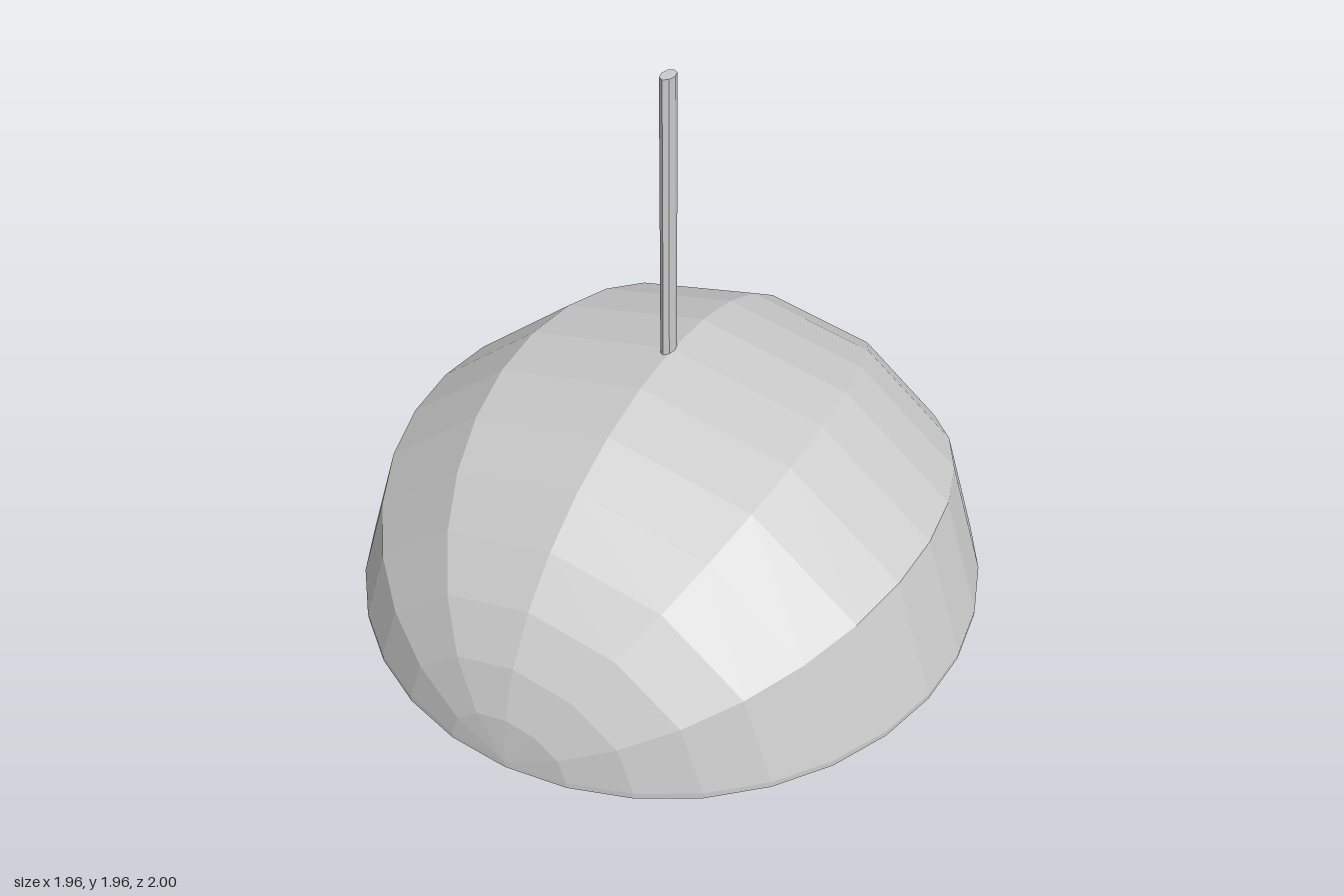
import * as THREE from 'three';

const material = (side = THREE.FrontSide) =>
  new THREE.MeshStandardMaterial({ color: 0xcccccc, flatShading: true, side });

function addPart(group, name, geometry, x, y, side) {
  const mesh = new THREE.Mesh(geometry, material(side));
  mesh.name = name;
  mesh.position.set(x, y, 0);
  group.add(mesh);
}

export function createModel() {
  const group = new THREE.Group();
  group.name = 'pendantLamp';
  const axisX = -0.013; // stem and bulb sit slightly off the shade's centre

  // Shade: faceted half dome whose poles lie at the front and back of the rim
  const dome = new THREE.SphereGeometry(1, 6, 16, 0, Math.PI);
  dome.rotateX(-Math.PI / 2);
  dome.scale(0.98, 0.8, 1);
  addPart(group, 'shade', dome, 0, 0.27, THREE.DoubleSide);

  // Short upright lip below the dome
  const lip = new THREE.CylinderGeometry(1, 1, 0.02, 32, 1, true);
  lip.scale(0.98, 1, 1);
  addPart(group, 'shadeLip', lip, 0, 0.26, THREE.DoubleSide);

  // Bulb: round below, tapering into a neck under the top of the shade
  const radius = 0.37;
  const profile = [];
  for (let i = 0; i <= 12; i++) {
    const a = (i * Math.PI) / 16;
    profile.push(new THREE.Vector2(radius * Math.sin(a), radius - radius * Math.cos(a)));
  }
  profile.push(new THREE.Vector2(0.19, 0.78), new THREE.Vector2(0.1, 1.02), new THREE.Vector2(0, 1.02));
  addPart(group, 'bulb', new THREE.LatheGeometry(profile, 16), axisX, 0);

  // Stem: flattened rod rising from the top of the shade
  const stem = new THREE.CylinderGeometry(1, 1, 0.94, 8);
  stem.scale(0.021, 1, 0.034);
  addPart(group, 'stem', stem, axisX, 1.49);

  return group;
}
